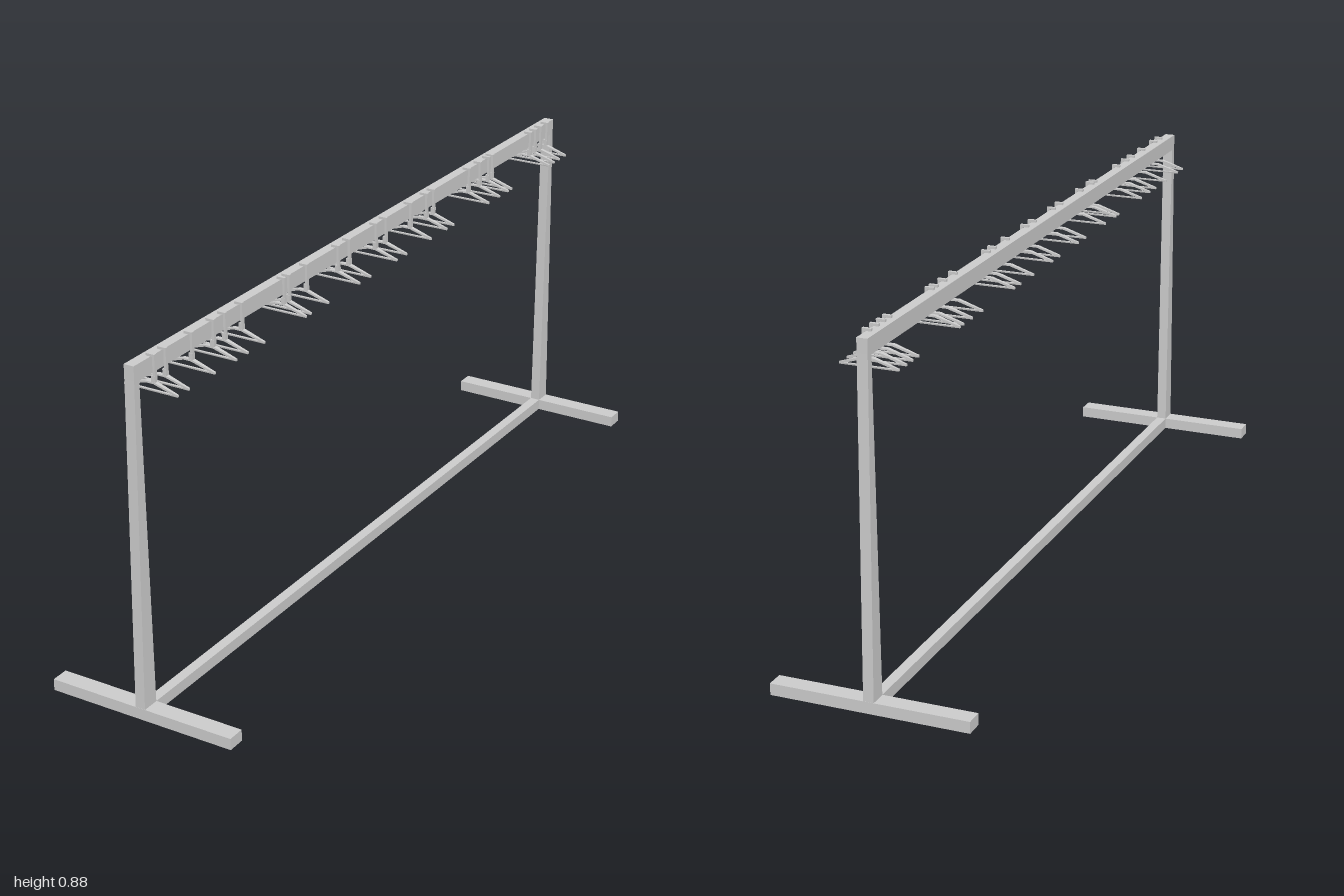
import * as THREE from 'three';

const material = new THREE.MeshStandardMaterial({ color: 0xcccccc, flatShading: true });

function add(parent, name, geometry) {
  const mesh = new THREE.Mesh(geometry, material);
  mesh.name = name;
  parent.add(mesh);
  return mesh;
}

// Box given by its minimum and maximum corners
function box(x0, x1, y0, y1, z0, z1) {
  return new THREE.BoxGeometry(x1 - x0, y1 - y0, z1 - z0)
    .translate((x0 + x1) / 2, (y0 + y1) / 2, (z0 + z1) / 2);
}

// Upright that narrows towards the top; side is +1 or -1 along z
function postGeometry(side) {
  const g = box(-0.013, 0.013, 0, 0.84, -1, 1);
  const p = g.attributes.position;
  for (let i = 0; i < p.count; i++) {
    const top = p.getY(i) > 0.4;
    const outer = p.getZ(i) * side > 0;
    p.setZ(i, side * (outer ? (top ? 0.985 : 1) : (top ? 0.967 : 0.955)));
  }
  g.computeVertexNormals();
  return g;
}

// Triangular frame with an open middle, thickest in z at its centre
function hangerFrameGeometry() {
  const cx = 0.009, half = 0.071;
  const polygon = (pts) => pts.map(([x, y]) => new THREE.Vector2(cx + x, y));
  const shape = new THREE.Shape(polygon([
    [-half, 0.792], [half, 0.792], [half, 0.797], [0.012, 0.815], [-0.012, 0.815], [-half, 0.797],
  ]));
  shape.holes.push(new THREE.Path(polygon([
    [-0.058, 0.7955], [-0.010, 0.811], [0.010, 0.811], [0.058, 0.7955],
  ])));
  const g = new THREE.ExtrudeGeometry(shape, { depth: 0.012, bevelEnabled: false });
  g.translate(0, 0, -0.006);
  const p = g.attributes.position;
  for (let i = 0; i < p.count; i++) {
    const t = Math.abs(p.getX(i) - cx) / half;
    p.setZ(i, p.getZ(i) * (1 - 0.6 * t));
  }
  g.computeVertexNormals();
  return g;
}

export function createModel() {
  const model = new THREE.Group();
  model.name = 'clothesRack';

  // Rails
  add(model, 'topRail', box(-0.013, 0.013, 0.834, 0.874, -0.985, 0.985));
  add(model, 'bottomRail', box(-0.013, 0.013, 0, 0.029, -0.96, 0.96));

  // Uprights and feet
  for (const side of [1, -1]) {
    const end = side > 0 ? 'front' : 'back';
    add(model, end + 'Post', postGeometry(side));
    add(model, end + 'Foot', box(-0.246, 0.246, 0, 0.029, side * 0.9775 - 0.0225, side * 0.9775 + 0.0225));
  }

  // Hangers hooked over the rail
  const frame = hangerFrameGeometry();
  const hookTop = box(0.001, 0.023, 0.874, 0.88, -0.004, 0.004);
  const hookLeg = box(0.017, 0.023, 0.812, 0.876, -0.004, 0.004);
  const neck = box(0.013, 0.023, 0.812, 0.83, -0.005, 0.005);
  const positions = [
    0.92, 0.878, 0.779, 0.695, 0.649, 0.581, 0.405, 0.384, 0.307, 0.165, 0.114, -0.012,
    -0.06, -0.183, -0.264, -0.3, -0.489, -0.548, -0.596, -0.617, -0.836, -0.866, -0.898, -0.935,
  ];
  for (const z of positions) {
    const hanger = new THREE.Group();
    hanger.name = 'hanger';
    add(hanger, 'hangerFrame', frame);
    add(hanger, 'hookTop', hookTop);
    add(hanger, 'hookLeg', hookLeg);
    add(hanger, 'hookNeck', neck);
    hanger.position.z = z;
    model.add(hanger);
  }
  return model;
}
